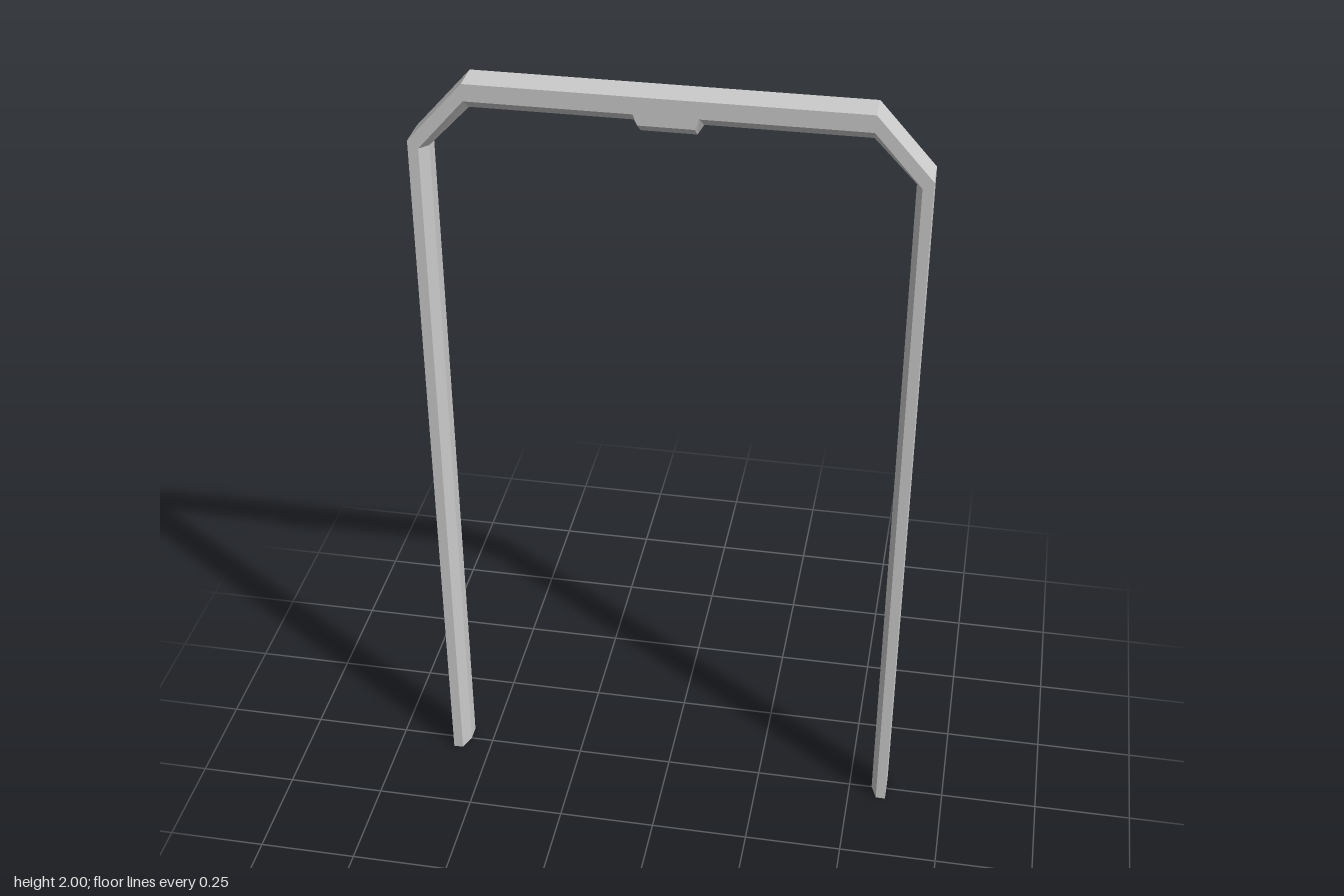
import * as THREE from 'three';

const FRONT = 0.04, MID = 0, BACK = -0.04;

// Each station holds [x, y] of the outer edge, the inner edge and the bevelled front inner edge.
const half = [
  [[-0.6, 0], [-0.56, 0], [-0.575, 0]], // foot
  [[-0.6, 1.85], [-0.56, 1.823], [-0.575, 1.832]], // top of post
  [[-0.465, 2], [-0.46, 1.927], [-0.463, 1.958]], // end of lintel
  [[-0.08, 2], [-0.08, 1.927], [-0.075, 1.958]], // start of latch tab
  [[-0.065, 2], [-0.065, 1.902], [-0.065, 1.932]], // bottom of latch tab
];

// Cross-section loop: outer front, outer back, inner back, inner middle, inner front.
function section([outer, inner, bevel]) {
  return [
    [...outer, FRONT], [...outer, BACK], [...inner, BACK], [...inner, MID], [...bevel, FRONT],
  ];
}

// Joins the cross-sections into a flat-sided, capped solid.
function loft(sections) {
  const pos = [];
  const tri = (a, b, c) => pos.push(...a, ...b, ...c);
  const n = sections[0].length;
  for (let i = 0; i < sections.length - 1; i++) {
    for (let j = 0; j < n; j++) {
      const k = (j + 1) % n;
      const a = sections[i][j], b = sections[i][k];
      const c = sections[i + 1][k], d = sections[i + 1][j];
      tri(a, d, c);
      tri(a, c, b);
    }
  }
  const first = sections[0], last = sections[sections.length - 1];
  for (let j = 1; j < n - 1; j++) {
    tri(first[0], first[j], first[j + 1]);
    tri(last[0], last[j + 1], last[j]);
  }
  const geometry = new THREE.BufferGeometry();
  geometry.setAttribute('position', new THREE.Float32BufferAttribute(pos, 3));
  geometry.computeVertexNormals();
  return geometry;
}

export function createModel() {
  const group = new THREE.Group();
  group.name = 'doorway';

  // Posts, slanted corners, lintel and tab run as one continuous frame, mirrored about x = 0.
  const mirrored = half.map((s) => s.map(([x, y]) => [-x, y])).reverse();
  const frame = new THREE.Mesh(
    loft([...half, ...mirrored].map(section)),
    new THREE.MeshStandardMaterial({ color: 0xcccccc, flatShading: true }),
  );
  frame.name = 'doorFrame';
  group.add(frame);
  return group;
}
